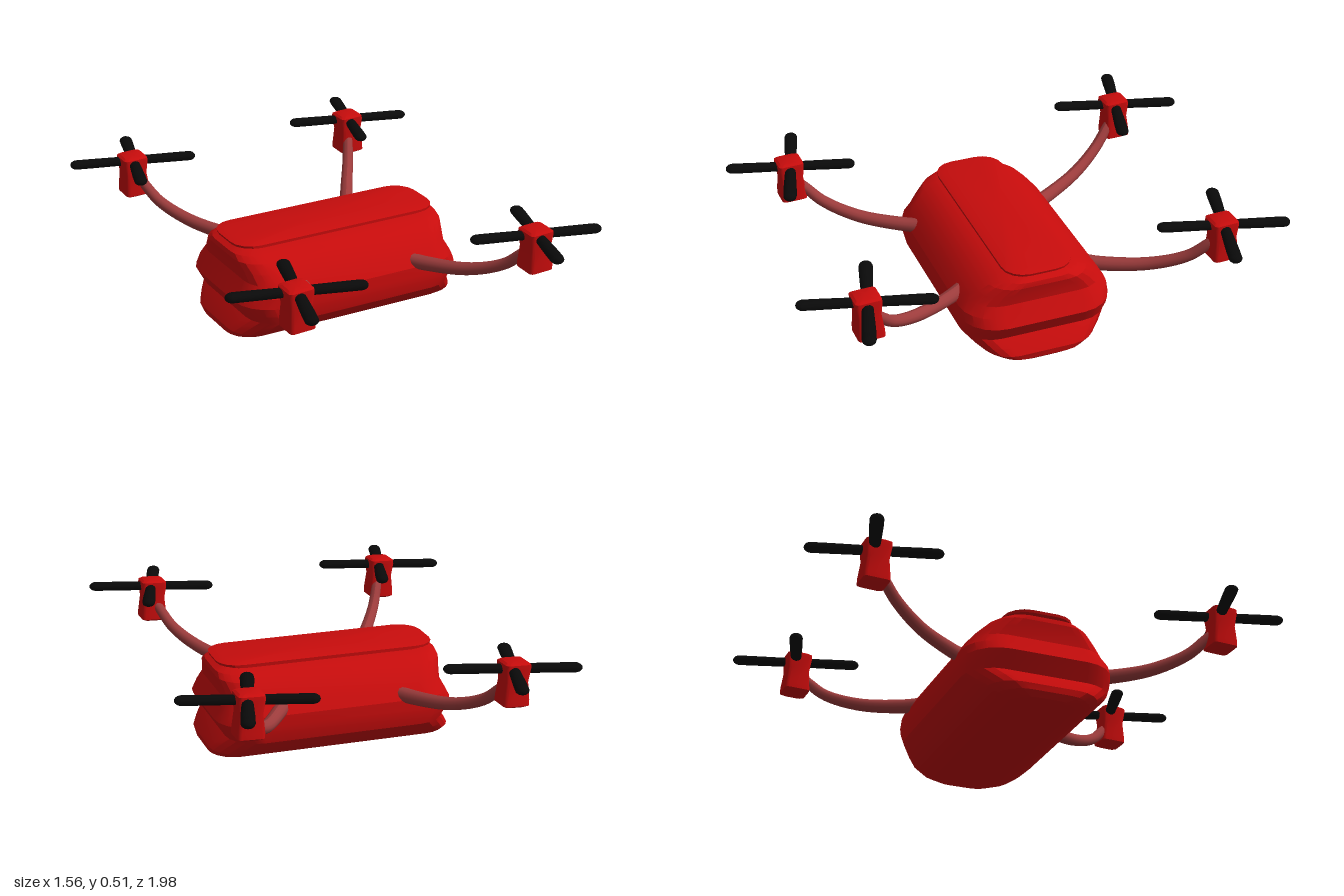
import * as THREE from 'three';
import { toCreasedNormals } from 'three/addons/utils/BufferGeometryUtils.js';

const red = new THREE.MeshStandardMaterial({ color: 0xc80c0c });
const dullRed = new THREE.MeshStandardMaterial({ color: 0x9c3c3c });
const black = new THREE.MeshStandardMaterial({ color: 0x0a0a0a });

// Stack of rounded rectangles, each level [y, halfX, halfZ, cornerRadius], capped at both ends
function loft(levels, crease = 0.4, seg = 4) {
  const pos = [], idx = [], n = 4 * (seg + 1);
  for (const [y, hx, hz, r] of levels) {
    for (let q = 0; q < 4; q++) {
      const sx = q === 0 || q === 3 ? 1 : -1, sz = q < 2 ? 1 : -1;
      for (let s = 0; s <= seg; s++) {
        const a = (q + s / seg) * Math.PI / 2;
        pos.push(sx * (hx - r) + r * Math.cos(a), y, sz * (hz - r) + r * Math.sin(a));
      }
    }
  }
  const top = levels.length - 1;
  for (let l = 0; l < top; l++) {
    for (let i = 0; i < n; i++) {
      const a = l * n + i, b = l * n + (i + 1) % n;
      idx.push(a, a + n, b, b, a + n, b + n);
    }
  }
  pos.push(0, levels[0][0], 0, 0, levels[top][0], 0);
  const c = levels.length * n;
  for (let i = 0; i < n; i++) {
    const j = (i + 1) % n;
    idx.push(c, i, j, c + 1, top * n + j, top * n + i);
  }
  const g = new THREE.BufferGeometry();
  g.setAttribute('position', new THREE.Float32BufferAttribute(pos, 3));
  g.setIndex(idx);
  return toCreasedNormals(g, crease);
}

function add(parent, name, geometry, material) {
  const mesh = new THREE.Mesh(geometry, material);
  mesh.name = name;
  parent.add(mesh);
  return mesh;
}

// Curved arm, slimmer towards the motor
function armGeometry(sx, sz) {
  const path = new THREE.CatmullRomCurve3([
    [0.23, 0.25, 0.24], [0.28, 0.247, 0.32], [0.38, 0.268, 0.49],
    [0.46, 0.325, 0.62], [0.505, 0.4, 0.7], [0.535, 0.435, 0.765],
  ].map(([x, y, z]) => new THREE.Vector3(sx * x, y, sz * z)));
  const rings = 28, sides = 12;
  const g = new THREE.TubeGeometry(path, rings, 0.031, sides);
  const p = g.attributes.position, v = new THREE.Vector3();
  for (let i = 0; i < p.count; i++) {
    const u = Math.floor(i / (sides + 1)) / rings;
    const c = path.getPointAt(u);
    v.fromBufferAttribute(p, i).sub(c).multiplyScalar(u === 1 ? 0 : 1 - 0.35 * u).add(c);
    p.setXYZ(i, v.x, v.y, v.z);
  }
  g.computeVertexNormals();
  return g;
}

// Flat double blade, narrower at the hub
function bladeGeometry() {
  const g = new THREE.CapsuleGeometry(0.027, 0.476, 5, 12, 10);
  g.rotateZ(Math.PI / 2);
  const p = g.attributes.position;
  for (let i = 0; i < p.count; i++) {
    const w = 0.75 + 0.25 * Math.min(1, Math.abs(p.getX(i)) / 0.18);
    p.setY(i, p.getY(i) * 0.68);
    p.setZ(i, p.getZ(i) * w);
  }
  g.computeVertexNormals();
  return g;
}

export function createModel() {
  const model = new THREE.Group();
  model.name = 'quadcopter';

  // Body shell with waisted ends
  add(model, 'body', loft([
    [0.003, 0.44, 0.07, 0.05],
    [0.01, 0.48, 0.13, 0.08],
    [0.03, 0.502, 0.195, 0.11],
    [0.055, 0.505, 0.235, 0.12],
    [0.085, 0.485, 0.27, 0.13],
    [0.12, 0.455, 0.303, 0.13],
    [0.155, 0.475, 0.31, 0.14],
    [0.19, 0.495, 0.31, 0.15],
    [0.23, 0.473, 0.308, 0.14],
    [0.27, 0.452, 0.285, 0.13],
    [0.31, 0.458, 0.25, 0.12],
    [0.345, 0.468, 0.21, 0.11],
    [0.365, 0.465, 0.17, 0.1],
    [0.378, 0.44, 0.13, 0.08],
  ], 0.35, 5), red);

  // Raised lid
  add(model, 'lid', loft([
    [0.365, 0.43, 0.13, 0.08],
    [0.383, 0.43, 0.13, 0.08],
    [0.386, 0.452, 0.143, 0.09],
    [0.396, 0.455, 0.143, 0.09],
    [0.404, 0.42, 0.12, 0.08],
  ]), red);

  const podShape = loft([
    [0, 0.04, 0.04, 0.015],
    [0.008, 0.053, 0.053, 0.015],
    [0.03, 0.053, 0.053, 0.015],
    [0.1, 0.046, 0.046, 0.013],
    [0.155, 0.053, 0.053, 0.015],
    [0.17, 0.052, 0.052, 0.015],
    [0.177, 0.042, 0.042, 0.015],
  ], 0.6, 3);
  const bladeShape = bladeGeometry();

  // Four arms, each with a motor and a rotor
  for (const sx of [1, -1]) {
    for (const sz of [1, -1]) {
      const unit = new THREE.Group();
      unit.name = `${sz > 0 ? 'front' : 'back'}${sx > 0 ? 'Left' : 'Right'}Arm`;
      add(unit, 'arm', armGeometry(sx, sz), dullRed);

      const x = sx * 0.523, z = sz * 0.732;
      const motor = add(unit, 'motor', podShape, red);
      motor.position.set(x, 0.335, z);
      motor.rotation.set(0.03, 0, 0.04);

      const rotor = new THREE.Group();
      rotor.name = 'rotor';
      rotor.position.set(x, 0.482, z);
      rotor.rotation.y = -0.28;
      add(rotor, 'blade', bladeShape, black);
      add(rotor, 'crossBlade', bladeShape, black).rotation.y = Math.PI / 2;
      unit.add(rotor);
      model.add(unit);
    }
  }
  return model;
}
